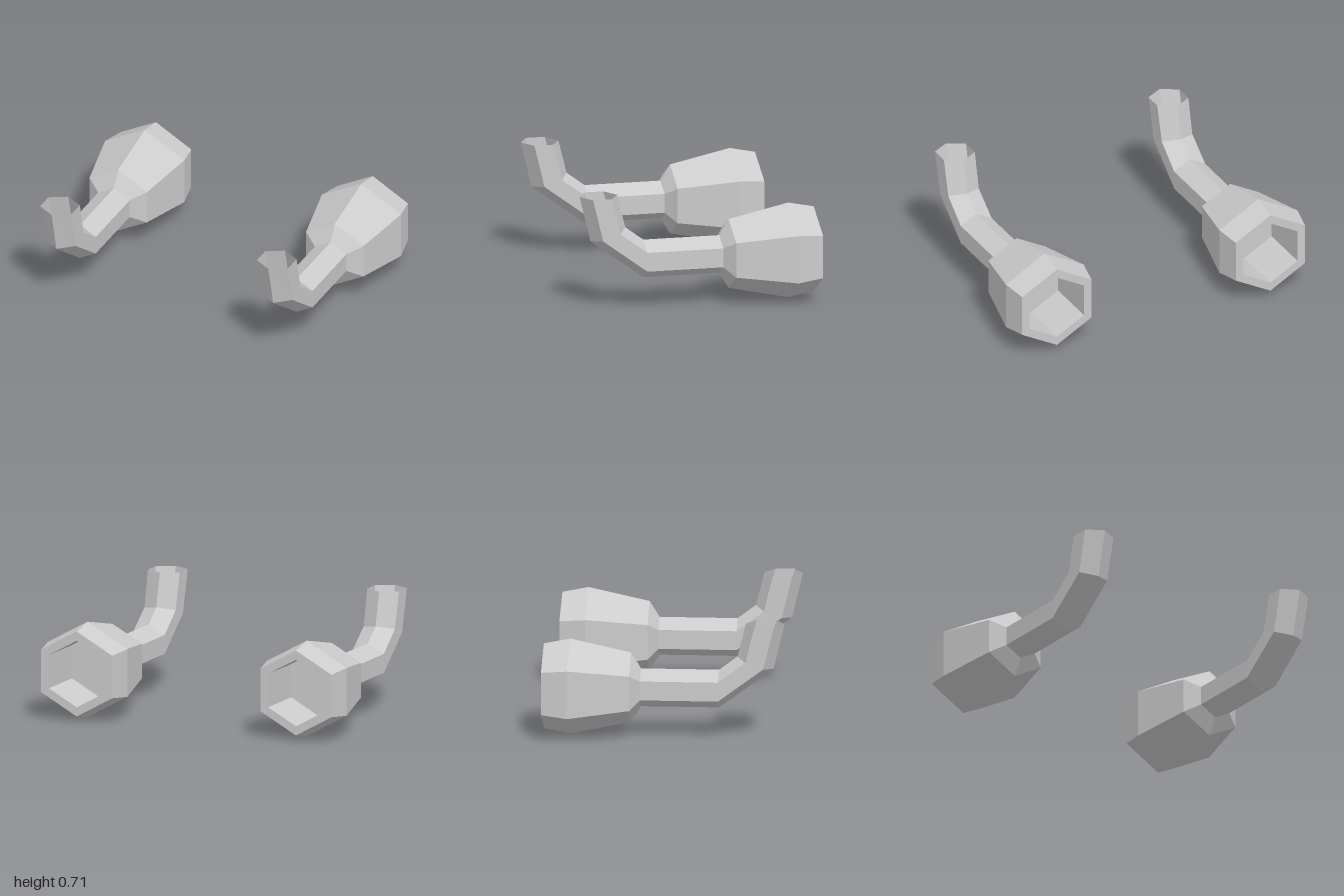
import * as THREE from 'three';

const SIDES = 6, WIDEN = 1.04, AXIS_Y = 0.298;

// Skins hexagonal rings [z, y, radius, tilt]; tilt leans the ring's top towards -z
function skin(rings) {
  const point = ([z, y, r, tilt = 0], k) => {
    const a = (k / SIDES) * Math.PI * 2, up = r * Math.cos(a);
    return [r * WIDEN * Math.sin(a), y + up * Math.cos(tilt), z - up * Math.sin(tilt)];
  };
  const pos = [];
  for (let i = 0; i < rings.length - 1; i++) {
    for (let k = 0; k < SIDES; k++) {
      const a = point(rings[i], k), b = point(rings[i], k + 1);
      const c = point(rings[i + 1], k), d = point(rings[i + 1], k + 1);
      pos.push(...a, ...b, ...c);
      if (rings[i + 1][2] > 0) pos.push(...b, ...d, ...c);
    }
  }
  const geo = new THREE.BufferGeometry();
  geo.setAttribute('position', new THREE.Float32BufferAttribute(pos, 3));
  geo.computeVertexNormals();
  return geo;
}

export function createModel() {
  const model = new THREE.Group();
  model.name = 'exhaustPair';
  const material = new THREE.MeshStandardMaterial({
    color: 0xcccccc, flatShading: true, side: THREE.DoubleSide,
  });

  // Open-ended pipe: upturned mouth, bend, straight run
  const pipe = skin([
    [0.62, 0.707, 0.118, Math.PI / 2],
    [0.56, 0.463, 0.116, 1.243],
    [0.337, AXIS_Y, 0.118],
    [-0.14, AXIS_Y, 0.118],
  ]);

  // Flared nozzle: shoulder, belly, rear lip, recess and its end wall
  const nozzle = skin([
    [-0.14, AXIS_Y, 0.118],
    [-0.2, AXIS_Y, 0.216],
    [-0.575, AXIS_Y, 0.297],
    [-0.735, AXIS_Y, 0.264],
    [-0.735, AXIS_Y, 0.207],
    [-0.39, AXIS_Y, 0.207],
    [-0.39, AXIS_Y, 0],
  ]);

  for (const [side, sign] of [['left', 1], ['right', -1]]) {
    const exhaust = new THREE.Group();
    exhaust.name = side + 'Exhaust';
    exhaust.position.x = sign * 0.733;
    for (const [name, geo] of [['Pipe', pipe], ['Nozzle', nozzle]]) {
      const mesh = new THREE.Mesh(geo, material);
      mesh.name = side + name;
      exhaust.add(mesh);
    }
    model.add(exhaust);
  }
  return model;
}
